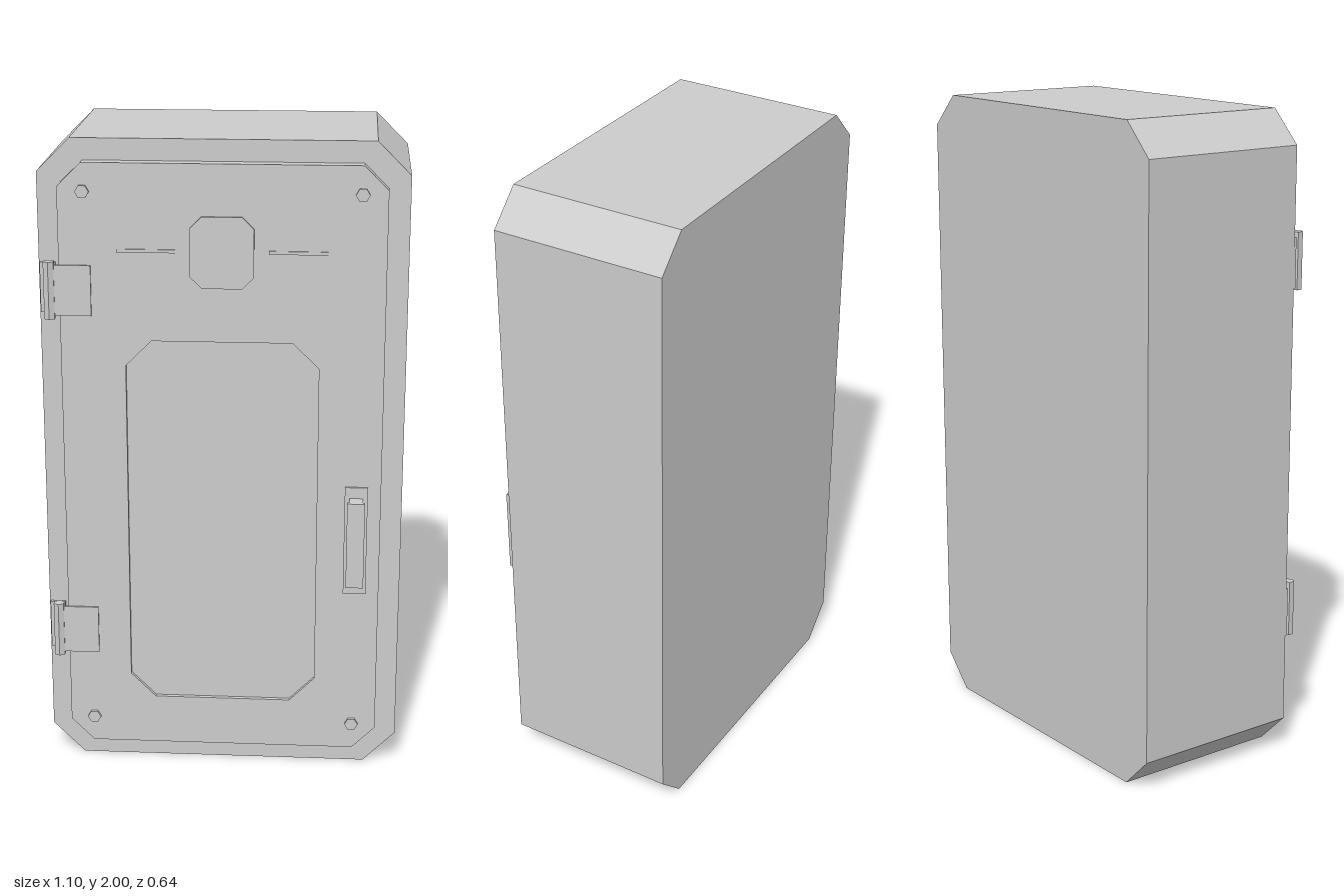
import * as THREE from 'three';

export function createModel() {
  const group = new THREE.Group();
  const grey = new THREE.MeshStandardMaterial({ color: 0xcccccc });
  grey.name = 'light grey';

  const add = (name, geometry, x = 0, y = 0, z = 0, parent = group) => {
    const mesh = new THREE.Mesh(geometry, grey);
    mesh.name = name;
    mesh.position.set(x, y, z);
    parent.add(mesh);
    return mesh;
  };
  // box given by its limits
  const box = (name, x0, x1, y0, y1, z0, z1, parent) =>
    add(name, new THREE.BoxGeometry(x1 - x0, y1 - y0, z1 - z0),
      (x0 + x1) / 2, (y0 + y1) / 2, (z0 + z1) / 2, parent);
  // corners of a rectangle with cut corners
  const octagon = (w, y0, y1, cx, cy = cx) => [
    [-w + cx, y0], [w - cx, y0], [w, y0 + cy], [w, y1 - cy],
    [w - cx, y1], [-w + cx, y1], [-w, y1 - cy], [-w, y0 + cy],
  ].map(([x, y]) => new THREE.Vector2(x, y));
  const slab = (name, points, z0, z1, hole) => {
    const shape = new THREE.Shape(points);
    if (hole) shape.holes.push(new THREE.Path(hole));
    const geometry = new THREE.ExtrudeGeometry(shape, { depth: z1 - z0, bevelEnabled: false });
    return add(name, geometry, 0, 0, z0);
  };

  // cabinet and door with a shallow recessed panel
  slab('cabinet', octagon(0.55, 0, 2, 0.1), -0.32, 0.225);
  const panel = octagon(0.29, 0.225, 1.4, 0.078);
  slab('door', octagon(0.485, 0.065, 1.935, 0.072), 0.225, 0.265, panel);
  slab('recessedPanel', panel, 0.226, 0.252);

  // blank badge plate with a trim bar on each side
  slab('badgePlate', octagon(0.095, 1.565, 1.78, 0.035), 0.265, 0.273);
  for (const s of [-1, 1]) {
    const x = s * 0.225;
    box('trimBar', x - 0.087, x + 0.087, 1.67, 1.68, 0.265, 0.269);
  }

  // corner bolts
  for (const x of [-0.41, 0.41]) {
    for (const y of [0.15, 1.85]) {
      const bolt = add('bolt', new THREE.CylinderGeometry(0.021, 0.021, 0.01, 6).toNonIndexed(), x, y, 0.27);
      bolt.geometry.rotateY(Math.PI / 6).rotateX(Math.PI / 2);
      bolt.geometry.computeVertexNormals();
    }
  }

  // hinges
  for (const y of [0.453, 1.552]) {
    const hinge = new THREE.Group();
    hinge.name = 'hinge';
    group.add(hinge);
    const pin = new THREE.CylinderGeometry(0.018, 0.018, 0.175, 6).toNonIndexed();
    pin.computeVertexNormals();
    add('hingePin', pin, -0.515, y, 0.265, hinge);
    box('doorLeaf', -0.51, -0.39, y - 0.077, y + 0.077, 0.262, 0.271, hinge);
    box('frameLeaf', -0.547, -0.5, y - 0.077, y + 0.077, 0.225, 0.234, hinge);
  }

  // handle
  const handle = new THREE.Group();
  handle.name = 'handle';
  group.add(handle);
  box('handlePlate', 0.375, 0.445, 0.6, 0.95, 0.265, 0.271, handle);
  box('handlePost', 0.39, 0.43, 0.64, 0.68, 0.27, 0.306, handle);
  box('handlePost', 0.39, 0.43, 0.875, 0.915, 0.27, 0.306, handle);
  box('handleGrip', 0.383, 0.437, 0.64, 0.915, 0.305, 0.32, handle);

  return group;
}
